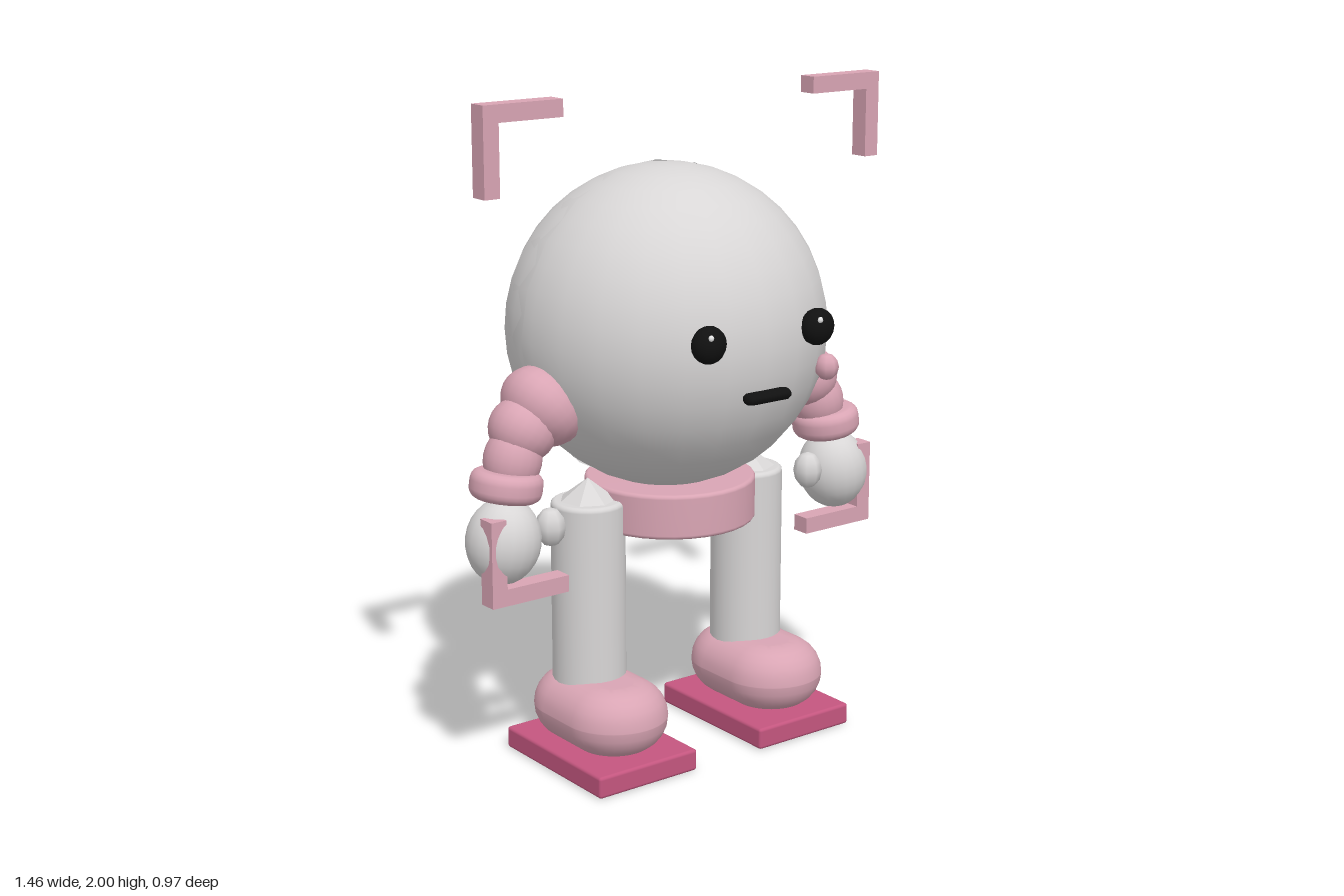
import * as THREE from 'three';
import { mergeVertices } from 'three/addons/utils/BufferGeometryUtils.js';
import { RoundedBoxGeometry } from 'three/addons/geometries/RoundedBoxGeometry.js';

const material = (name, color, extra = {}) => {
  const m = new THREE.MeshStandardMaterial({ color, ...extra });
  m.name = name;
  return m;
};

export function createModel() {
  const shell = material('shell grey', 0xd8d6d6);
  const faceted = material('shell grey faceted', 0xd8d6d6, { flatShading: true });
  const rim = material('shell grey open', 0xd8d6d6, { side: THREE.DoubleSide });
  const pink = material('soft pink', 0xd9a5b4);
  const magenta = material('sole magenta', 0xc4567f);
  const black = material('face black', 0x111111);
  const white = material('eye glint white', 0xffffff);

  const model = new THREE.Group();
  model.name = 'roundRobot';

  const add = (parent, name, geometry, mat, x, y, z) => {
    const mesh = new THREE.Mesh(geometry, mat);
    mesh.name = name;
    mesh.position.set(x, y, z);
    parent.add(mesh);
    return mesh;
  };
  const ellipsoid = (rx, ry, rz, w = 24, h = 16) =>
    new THREE.SphereGeometry(1, w, h).scale(rx, ry, rz);

  // Solid of revolution with rounded rims, centred on its height
  const roundedDisc = (r, h, b, segments) => {
    const pts = [new THREE.Vector2(0, -h / 2)];
    for (const [cy, start] of [[-h / 2 + b, -Math.PI / 2], [h / 2 - b, 0]]) {
      for (let i = 0; i <= 4; i++) {
        const a = start + (i / 4) * Math.PI / 2;
        pts.push(new THREE.Vector2(r - b + b * Math.cos(a), cy + b * Math.sin(a)));
      }
    }
    pts.push(new THREE.Vector2(0, h / 2));
    return new THREE.LatheGeometry(pts, segments);
  };

  // Pillow-shaped boot: stadium outline swollen by a round bevel
  const bootGeometry = () => {
    const r = 0.06, half = 0.07, round = 0.1;
    const shape = new THREE.Shape();
    shape.absarc(0, half, r, 0, Math.PI, false);
    shape.absarc(0, -half, r, Math.PI, Math.PI * 2, false);
    shape.closePath();
    const g = new THREE.ExtrudeGeometry(shape, {
      depth: 0.002, bevelEnabled: true, bevelSize: round,
      bevelThickness: round, bevelSegments: 6, curveSegments: 10,
    });
    g.deleteAttribute('uv');
    g.deleteAttribute('normal');
    const smooth = mergeVertices(g, 1e-4);
    smooth.computeVertexNormals();
    return smooth.rotateX(-Math.PI / 2).translate(0, -0.001, 0);
  };

  // Ball body: full front ball with a slightly larger back shell
  add(model, 'bodyFront', ellipsoid(0.482, 0.482, 0.475, 24, 20), shell, 0, 1.29, -0.02);
  add(model, 'bodyBackShell',
    new THREE.SphereGeometry(0.49, 20, 10, 0, Math.PI * 2, 0, 1.407).rotateX(-Math.PI / 2),
    rim, 0, 1.29, 0.01);

  // Face
  for (const s of [1, -1]) {
    const eye = new THREE.Group();
    eye.name = s > 0 ? 'leftEye' : 'rightEye';
    eye.position.set(s * 0.197, 1.335, 0.435);
    add(eye, 'eyeball', ellipsoid(0.054, 0.054, 0.043, 14, 10), black, 0, 0, 0);
    add(eye, 'glint', ellipsoid(0.009, 0.009, 0.007, 8, 6), white, -0.018, 0.027, 0.034);
    model.add(eye);
  }
  add(model, 'mouth',
    new THREE.CapsuleGeometry(0.018, 0.124, 5, 10).rotateZ(Math.PI / 2).scale(1, 1, 1.4),
    black, 0, 1.163, 0.452);
  add(model, 'cheek', ellipsoid(0.036, 0.04, 0.036, 8, 6), pink, 0.275, 1.197, 0.39);

  // Waist ring
  add(model, 'waist', roundedDisc(0.258, 0.135, 0.012, 32), pink, 0, 0.768, -0.003);

  for (const s of [1, -1]) {
    const side = s > 0 ? 'left' : 'right';

    // Arm: overlapping swollen segments, cuff, hand and thumb
    const arm = new THREE.Group();
    arm.name = side + 'Arm';
    model.add(arm);
    const segments = [
      ['shoulder', 0.455, 1.11, -0.01, 0.105, 0.13, 0.9],
      ['upperArm', 0.53, 1.055, 0, 0.095, 0.1, 0.65],
      ['forearm', 0.57, 0.975, 0.008, 0.1, 0.085, 0.25],
    ];
    for (const [name, x, y, z, along, across, tilt] of segments) {
      add(arm, name, ellipsoid(across, along, across, 20, 14), pink, s * x, y, z)
        .rotation.z = s * tilt;
    }
    add(arm, 'cuff', roundedDisc(0.106, 0.085, 0.03, 24), pink, s * 0.6, 0.906, 0.018)
      .rotation.z = s * 0.15;
    add(arm, 'hand', ellipsoid(0.11, 0.127, 0.109, 20, 14), shell, s * 0.622, 0.748, 0.032)
      .rotation.z = s * 0.15;
    add(arm, 'thumb', ellipsoid(0.045, 0.058, 0.045, 8, 6), shell, s * 0.485, 0.773, 0.07);

    // Leg: rounded post with a faceted pointed cap, boot and sole
    const leg = new THREE.Group();
    leg.name = side + 'Leg';
    model.add(leg);
    add(leg, 'post', roundedDisc(0.111, 0.65, 0.015, 24), shell, s * 0.3, 0.48, -0.006);
    add(leg, 'cap', new THREE.ConeGeometry(0.1, 0.075, 7), faceted, s * 0.3, 0.832, -0.006);
    add(leg, 'boot', bootGeometry(), pink, s * 0.3, 0.166, 0.05);
    add(leg, 'sole', new RoundedBoxGeometry(0.355, 0.067, 0.49, 2, 0.01), magenta,
      s * 0.298, 0.0335, 0.048);

    // Floating corner brackets, upper and lower
    for (const [name, y, d] of [['Upper', 2, -1], ['Lower', 0.58, 1]]) {
      const bracket = new THREE.Group();
      bracket.name = side + name + 'Bracket';
      add(bracket, 'bar', new THREE.BoxGeometry(0.26, 0.05, 0.058), pink,
        s * 0.58, y + d * 0.025, 0.08);
      add(bracket, 'upright', new THREE.BoxGeometry(0.05, 0.205, 0.058), pink,
        s * 0.685, y + d * 0.1525, 0.08);
      model.add(bracket);
    }
  }

  return model;
}
